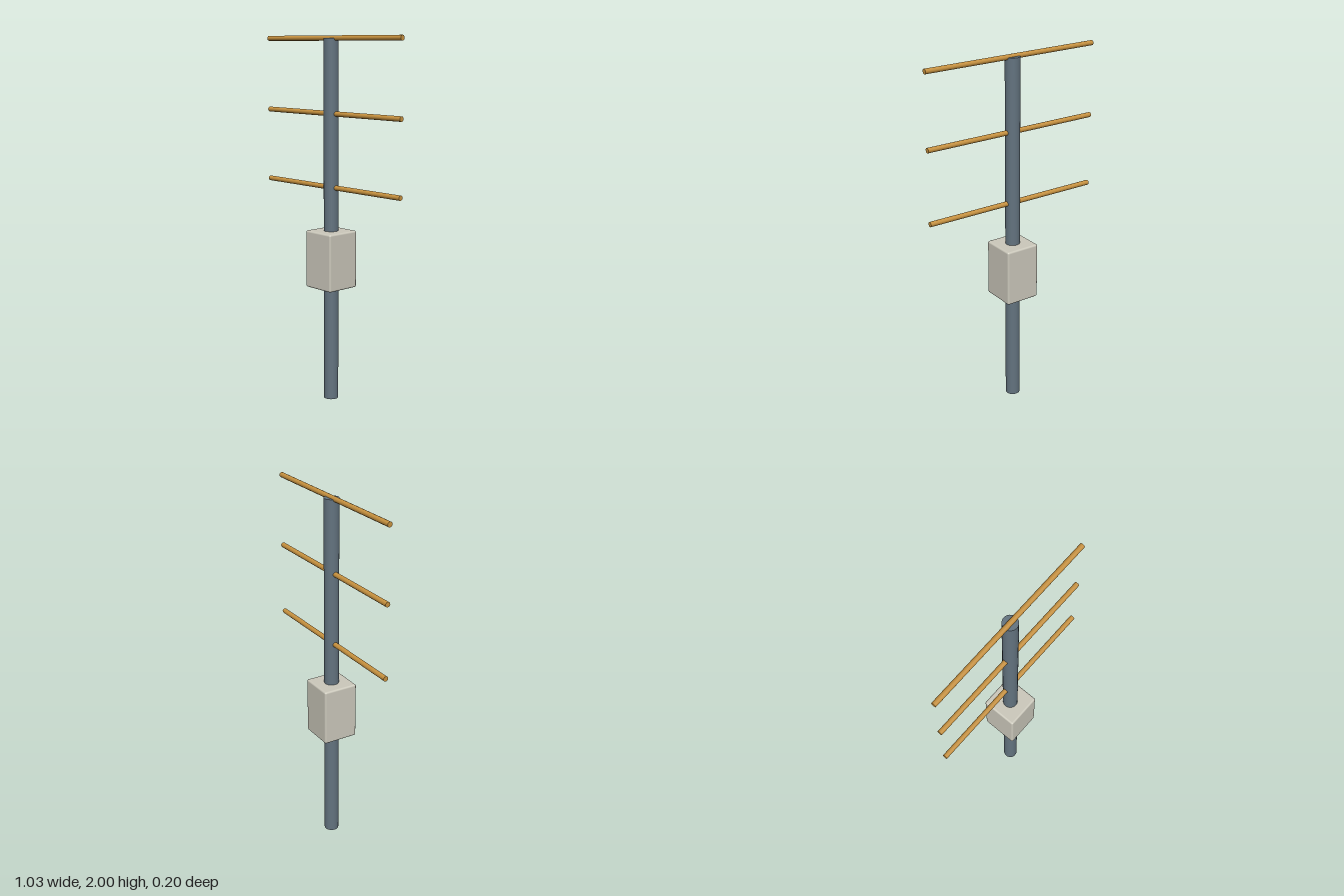
import * as THREE from 'three';
import { RoundedBoxGeometry } from 'three/addons/geometries/RoundedBoxGeometry.js';

export function createModel() {
  const steel = new THREE.MeshStandardMaterial({ name: 'blueGreySteel', color: 0x63737f });
  const copper = new THREE.MeshStandardMaterial({ name: 'copper', color: 0xc8923f });
  const casing = new THREE.MeshStandardMaterial({ name: 'paleGreyCasing', color: 0xcbc8bb });

  const model = new THREE.Group();
  model.name = 'antennaMast';
  const add = (name, geometry, material, y) => {
    const mesh = new THREE.Mesh(geometry, material);
    mesh.name = name;
    mesh.position.y = y;
    model.add(mesh);
    return mesh;
  };

  // Upright pole
  const height = 1.986;
  add('pole', new THREE.CylinderGeometry(0.04, 0.04, height, 24), steel, height / 2);

  // Equipment box around the pole
  add('equipmentBox', new RoundedBoxGeometry(0.198, 0.316, 0.198, 3, 0.01), casing, 0.796);

  // Three horizontal rods through the pole
  const rodGeometry = new THREE.CylinderGeometry(0.0139, 0.0139, 1.033, 12);
  rodGeometry.rotateZ(Math.PI / 2);
  [1.192, 1.589, 1.986].forEach((y, i) => add(`crossRod${i + 1}`, rodGeometry, copper, y));

  return model;
}
